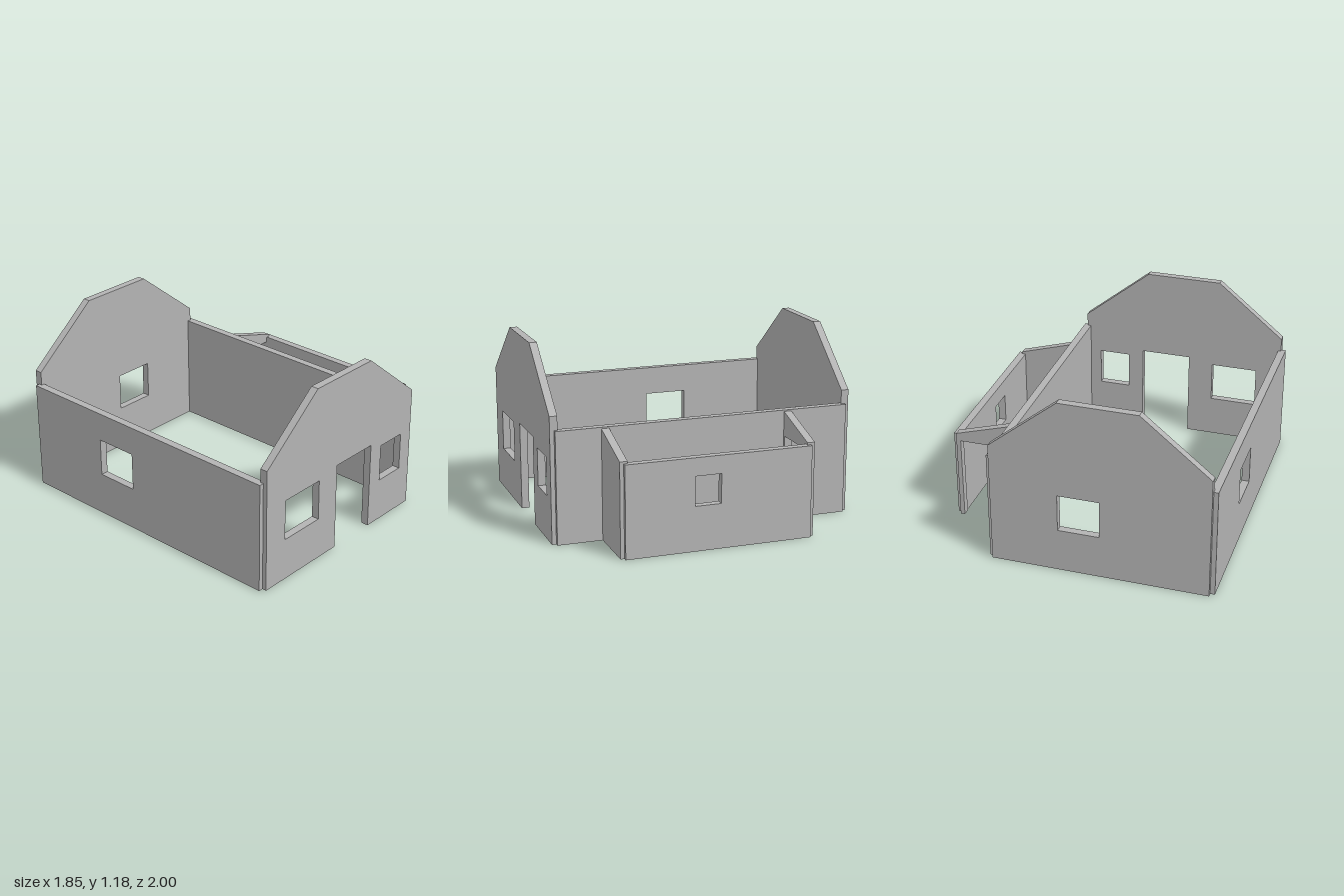
import * as THREE from 'three';

const T = 0.05; // wall thickness

const rect = (u0, v0, u1, v1) => [[u0, v0], [u1, v0], [u1, v1], [u0, v1]];
const toPoints = (pts) => pts.map(([u, v]) => new THREE.Vector2(u, v));

export function createModel() {
  const house = new THREE.Group();
  house.name = 'houseWalls';

  const plaster = new THREE.MeshStandardMaterial({ color: 0xb3b3b3 });
  plaster.name = 'grey plaster';

  // Upright slab with openings, drawn in (u, y) and extruded by its thickness
  function slab(name, outline, openings = []) {
    const shape = new THREE.Shape(toPoints(outline));
    for (const o of openings) shape.holes.push(new THREE.Path(toPoints(o)));
    const geometry = new THREE.ExtrudeGeometry(shape, { depth: T, bevelEnabled: false });
    const mesh = new THREE.Mesh(geometry, plaster);
    mesh.name = name;
    house.add(mesh);
    return mesh;
  }

  // Wall facing front or back: u runs along x, zBack is its rear face
  function crossWall(name, zBack, outline, openings) {
    slab(name, outline, openings).position.z = zBack;
  }

  // Wall facing sideways: u runs along z, xMax is its +x face
  function sideWall(name, xMax, outline, openings) {
    const mesh = slab(name, outline, openings);
    mesh.geometry.rotateY(-Math.PI / 2);
    mesh.position.x = xMax;
  }

  // Outline of a wall's upper edge, with an optional doorway cut up from the floor
  function withDoor(x0, x1, top, door) {
    const notch = door
      ? [[door.x0, 0], [door.x0, door.h], [door.x1, door.h], [door.x1, 0]]
      : [];
    return [[x0, 0], ...notch, [x1, 0], ...top];
  }

  // Clipped gables
  const gableTop = [[0.51, 0.82], [0.06, 1.185], [-0.45, 1.185], [-0.9, 0.82]];
  crossWall('frontGable', 0.95,
    withDoor(-0.9, 0.51, gableTop, { x0: -0.245, x1: 0.095, h: 0.585 }),
    [rect(-0.73, 0.28, -0.415, 0.55), rect(0.2, 0.29, 0.41, 0.54)]);
  crossWall('backGable', -1,
    withDoor(-0.9, 0.51, gableTop),
    [rect(-0.2, 0.29, 0.07, 0.54)]);

  // Long side walls
  sideWall('rightSideWall', -0.88, rect(-0.972, 0, 0.972, 0.73), [rect(-0.375, 0.29, -0.09, 0.54)]);
  sideWall('leftSideWall', 0.535, rect(-0.972, 0, 0.972, 0.73));

  // Lean-to annex with sloping end walls
  const slope = [[0.897, 0.611], [0.53, 0.722]];
  crossWall('annexFrontWall', 0.63, withDoor(0.53, 0.897, slope));
  crossWall('annexBackWall', -0.587,
    withDoor(0.53, 0.897, slope, { x0: 0.55, x1: 0.868, h: 0.56 }));
  sideWall('annexOuterWall', 0.922, rect(-0.56, 0, 0.655, 0.597), [rect(0.04, 0.29, 0.21, 0.48)]);

  return house;
}
